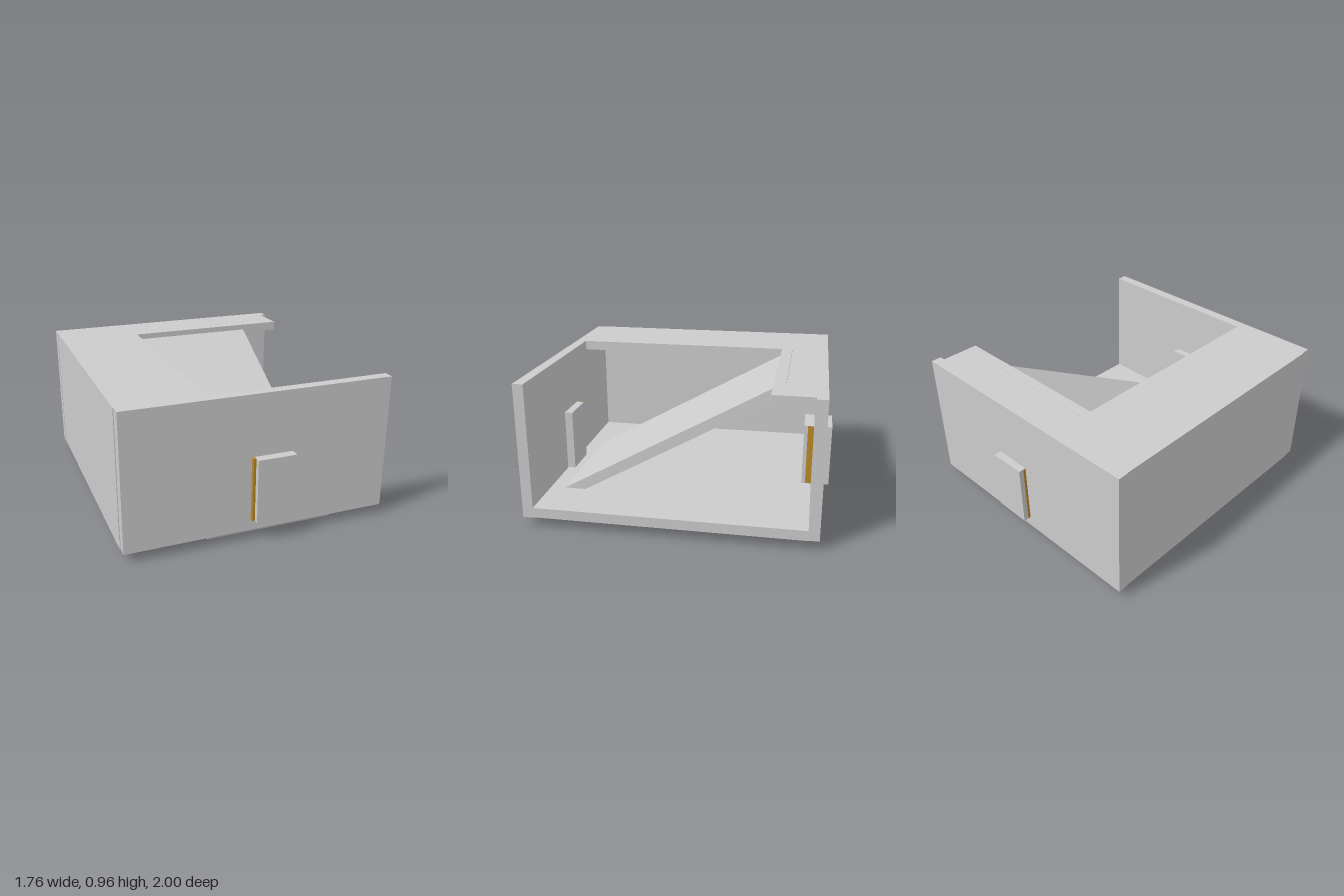
import * as THREE from 'three';

const grey = new THREE.MeshStandardMaterial({ color: 0xcccccc, flatShading: true });
const gold = new THREE.MeshStandardMaterial({ color: 0xb8892b, flatShading: true });

// Box given by its extents on each axis
function box(name, [x0, x1], [y0, y1], [z0, z1], material = grey) {
  const mesh = new THREE.Mesh(new THREE.BoxGeometry(x1 - x0, y1 - y0, z1 - z0), material);
  mesh.position.set((x0 + x1) / 2, (y0 + y1) / 2, (z0 + z1) / 2);
  mesh.name = name;
  return mesh;
}

// Sloping slab: side profile in (z, y), extruded across x with a very slight yaw
function ramp() {
  const profile = [[0.86, 0.004], [0.895, 0.065], [-0.695, 0.963], [-0.73, 0.9]];
  const shape = new THREE.Shape(profile.map(([z, y]) => new THREE.Vector2(-z, y)));
  const geometry = new THREE.ExtrudeGeometry(shape, { depth: 0.86, bevelEnabled: false });
  geometry.rotateY(Math.PI / 2);
  const p = geometry.attributes.position;
  for (let i = 0; i < p.count; i++) p.setX(i, p.getX(i) - 0.311 - 0.008 * p.getZ(i));
  geometry.computeVertexNormals();
  const mesh = new THREE.Mesh(geometry, grey);
  mesh.name = 'ramp';
  return mesh;
}

// Raised panel passing through a wall, with a coloured core showing at its edge
function door(name, x, coreX, side) {
  const group = new THREE.Group();
  group.name = name;
  const span = (a, b) => (side > 0 ? [a, b] : [-b, -a]);
  group.add(box('doorPanel', x, [0.14, 0.56], span(0.815, 1)));
  group.add(box('doorCore', coreX, [0.141, 0.559], span(0.84, 0.967), gold));
  return group;
}

export function createModel() {
  const model = new THREE.Group();
  model.name = 'openBoxWithRamp';
  const height = [0.065, 0.96];

  // Shell, open on the left side
  model.add(box('floor', [-0.878, 0.88], [0.068, 0.135], [-0.885, 0.877]));
  model.add(box('frontWall', [-0.875, 0.88], height, [0.87, 0.94]));
  model.add(box('backWall', [-0.883, 0.87], height, [-0.95, -0.88]));
  model.add(box('rightWall', [-0.88, -0.81], height, [-0.88, 0.87]));

  // Ceiling around the stair opening
  model.add(box('ceilingSide', [-0.81, -0.325], [0.895, 0.96], [-0.88, 0.87]));
  model.add(box('ceilingBack', [-0.325, 0.83], [0.895, 0.96], [-0.88, -0.62]));

  model.add(ramp());
  model.add(door('frontDoor', [-0.047, 0.21], [-0.063, 0.195], 1));
  model.add(door('backDoor', [-0.06, 0.19], [-0.061, 0.191], -1));
  return model;
}
